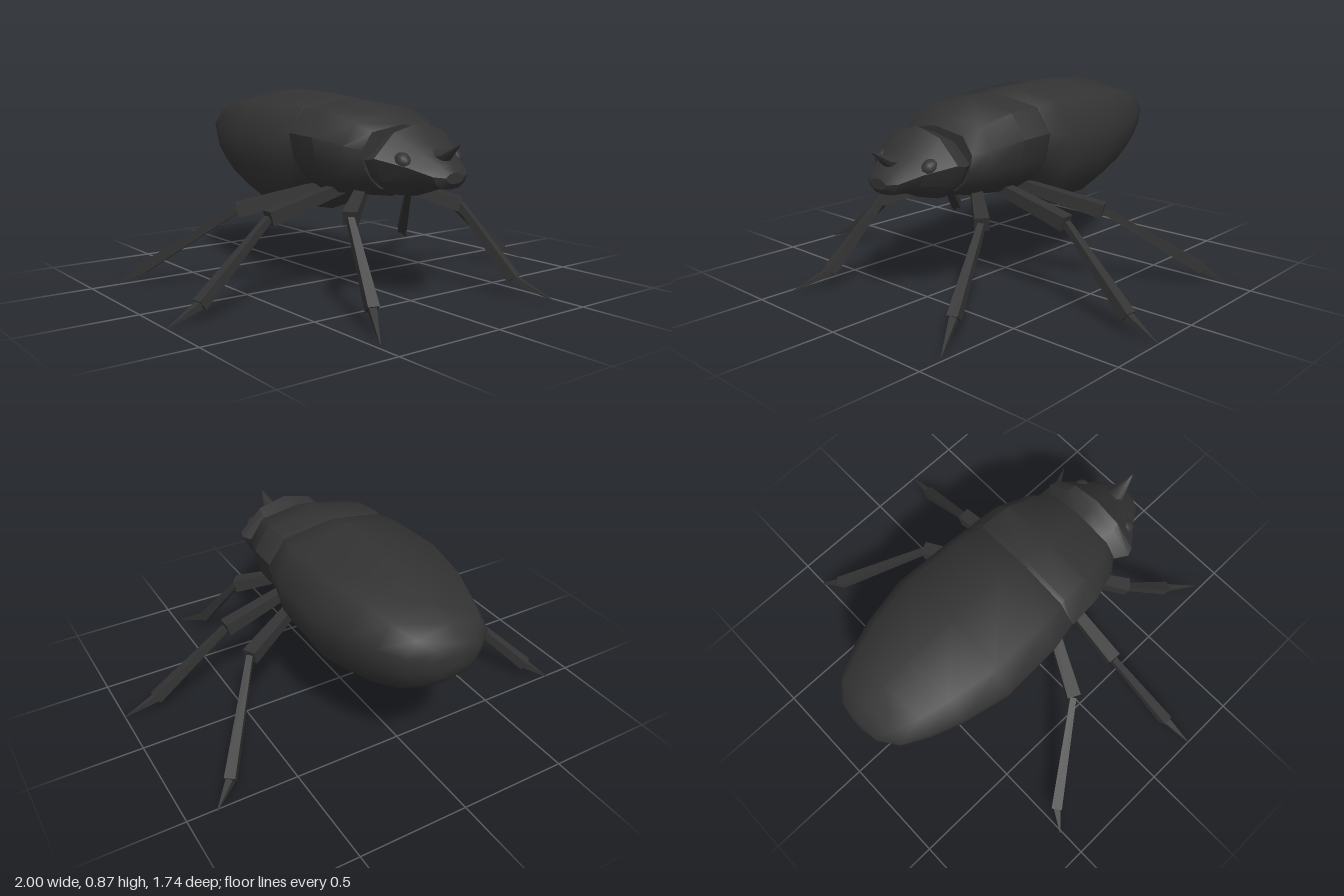
import * as THREE from 'three';
import { toCreasedNormals } from 'three/addons/utils/BufferGeometryUtils.js';

const shell = new THREE.MeshStandardMaterial({ color: 0x333333 });
const flat = new THREE.MeshStandardMaterial({ color: 0x333333, flatShading: true });

// Right half of the unit cross-sections, top to bottom
const BODY = [[0, 1], [0.76, 0.82], [1, 0.31], [0.93, -0.24], [0.78, -0.58], [0.55, -0.87], [0, -1]];
const HEAD = [[0, 1], [0.56, 0.78], [1, 0.12], [0.82, -0.5], [0.5, -0.9], [0, -1]];

// Skin over rings given front to back as [z, halfWidth, bottom, top], closed at both ends
function loft(half, rings, crease) {
  const section = [...half, ...half.slice(1, -1).reverse().map(([x, y]) => [-x, y])];
  const n = section.length, pos = [], idx = [];
  for (const [z, w, lo, hi] of rings)
    for (const [x, y] of section) pos.push(x * w, (lo + hi) / 2 + y * (hi - lo) / 2, z);
  const last = rings.length - 1;
  const front = pos.length / 3, back = front + 1;
  for (const [z, , lo, hi] of [rings[0], rings[last]]) pos.push(0, (lo + hi) / 2, z);
  for (let j = 0; j < n; j++) {
    const k = (j + 1) % n;
    for (let i = 0; i < last; i++) {
      const a = i * n + j, b = i * n + k;
      idx.push(a, b, a + n, b, b + n, a + n);
    }
    idx.push(front, k, j, back, last * n + j, last * n + k);
  }
  const g = new THREE.BufferGeometry();
  g.setAttribute('position', new THREE.Float32BufferAttribute(pos, 3));
  g.setIndex(idx);
  return toCreasedNormals(g, crease);
}

// Tapered square bar between two points
function bar(name, from, to, sizeFrom, sizeTo) {
  const a = new THREE.Vector3(...from), b = new THREE.Vector3(...to);
  const g = new THREE.CylinderGeometry(sizeTo * Math.SQRT1_2, sizeFrom * Math.SQRT1_2, a.distanceTo(b), 4);
  g.rotateY(Math.PI / 4).rotateX(Math.PI / 2);
  const m = new THREE.Mesh(g, flat);
  m.name = name;
  m.position.copy(a).lerp(b, 0.5);
  m.lookAt(b);
  return m;
}

export function createModel() {
  const model = new THREE.Group();
  model.name = 'beetle';
  const add = (name, geometry, material = shell) => {
    const m = new THREE.Mesh(geometry, material);
    m.name = name;
    model.add(m);
    return m;
  };

  add('abdomen', loft(BODY, [
    [0.085, 0.3, 0.44, 0.825], [0.06, 0.318, 0.43, 0.842], [-0.05, 0.338, 0.325, 0.862],
    [-0.33, 0.347, 0.318, 0.873], [-0.55, 0.3, 0.375, 0.855], [-0.69, 0.25, 0.435, 0.815],
    [-0.8, 0.195, 0.51, 0.778], [-0.86, 0.11, 0.585, 0.725], [-0.873, 0.03, 0.63, 0.69],
  ], 0.9));

  add('thorax', loft(BODY, [
    [0.435, 0.215, 0.465, 0.745], [0.37, 0.262, 0.435, 0.785], [0.22, 0.31, 0.422, 0.833],
    [0.085, 0.32, 0.425, 0.845], [0.065, 0.318, 0.43, 0.84],
  ], 0.8));

  // Head with a raised collar behind the eyes and a blunt snout
  add('head', loft(HEAD, [
    [0.75, 0.05, 0.53, 0.575], [0.725, 0.095, 0.505, 0.605], [0.64, 0.15, 0.5, 0.665],
    [0.535, 0.235, 0.457, 0.757], [0.5, 0.247, 0.46, 0.74], [0.43, 0.2, 0.475, 0.715],
  ], 0.55));

  // Upturned horn above the snout
  const path = [[0.63, 0.62, 0.05], [0.7, 0.635, 0.032], [0.775, 0.685, 0.003]];
  add('horn', loft(HEAD, path.reverse().map(([z, y, r]) => [z, r, y - r * 0.8, y + r * 0.8]), 0.7));

  // Hip, knee, ankle and toe tip of each left leg
  const legs = {
    front: [[0.1, 0.47, 0.3], [0.305, 0.385, 0.475], [0.39, 0.085, 0.72], [0.475, 0.005, 0.87]],
    middle: [[0.1, 0.475, 0.2], [0.5, 0.365, 0.178], [0.85, 0.07, 0.225], [1, 0.005, 0.242]],
    hind: [[0.1, 0.475, 0.12], [0.5, 0.365, -0.08], [0.78, 0.075, -0.445], [0.872, 0.005, -0.51]],
  };
  for (const side of [1, -1]) {
    const label = side > 0 ? 'left' : 'right';
    const eye = add(label + 'Eye', new THREE.SphereGeometry(0.036, 12, 8));
    eye.position.set(side * 0.14, 0.615, 0.597);
    eye.scale.set(1, 0.95, 1.15);
    eye.rotation.x = 0.5;

    for (const [pair, points] of Object.entries(legs)) {
      const [hip, knee, ankle, toe] = points.map(([x, y, z]) => [side * x, y, z]);
      const leg = new THREE.Group();
      leg.name = `${label}${pair[0].toUpperCase()}${pair.slice(1)}Leg`;
      leg.add(
        bar('upperLeg', hip, knee, 0.045, 0.062),
        bar('lowerLeg', knee, ankle, 0.028, 0.048),
        bar('foot', ankle, toe, 0.032, 0.003),
      );
      model.add(leg);
    }
  }
  return model;
}
